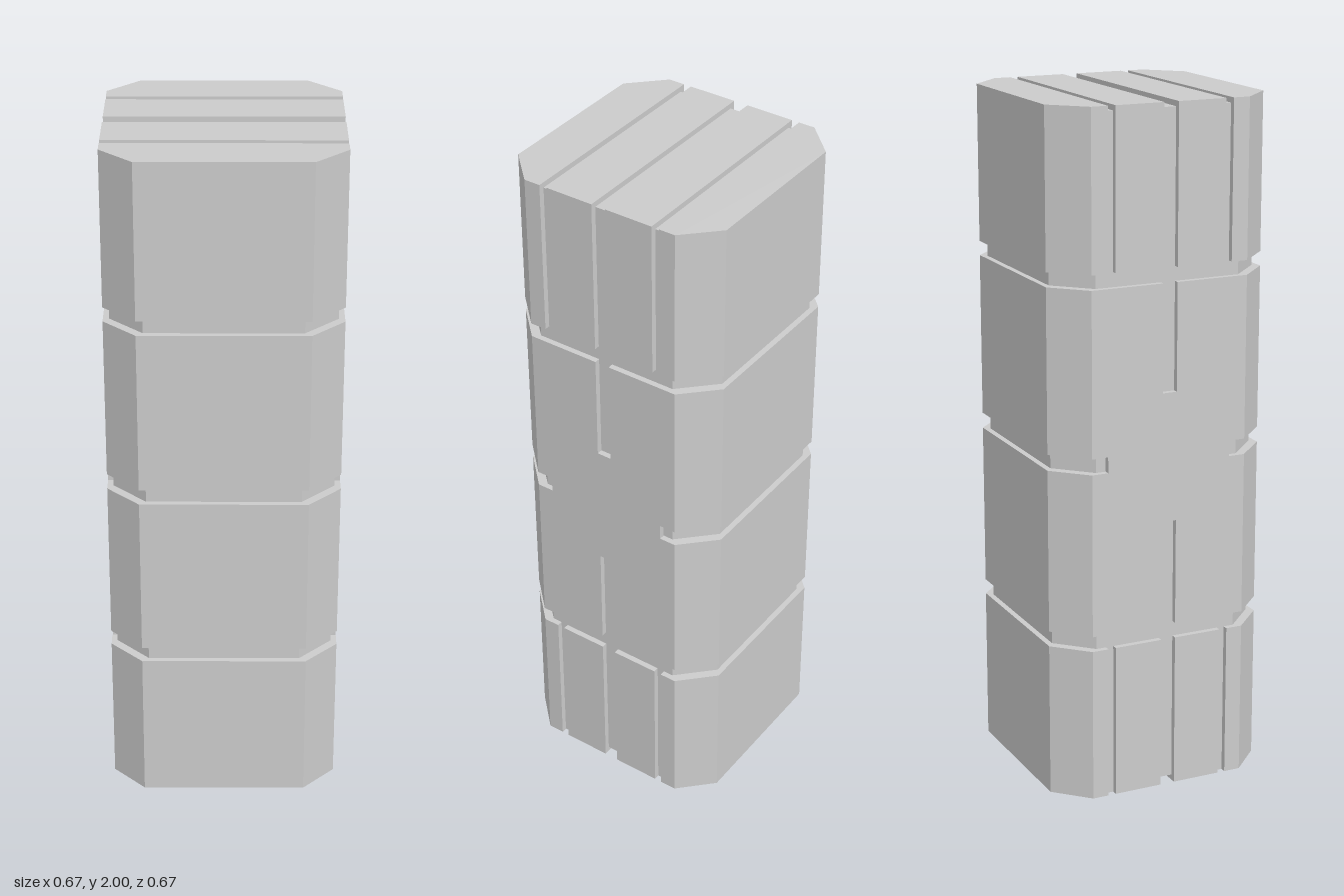
import * as THREE from 'three';

const R = 0.333, C = 0.239;      // half width, and where the corner chamfer starts
const RI = 0.316, CI = 0.22;     // the same at the bottom of the grooves
const MID = [-0.022, 0.022];     // centre groove, in z
const FRONT = [0.167, 0.19];     // outer grooves, in z
const BACK = [-0.19, -0.167];
const CAP = 0.016;               // depth of the grooves across the ends

const material = new THREE.MeshStandardMaterial({ color: 0xcccccc, flatShading: true });

// +x edge of a section with rising z, cut by grooves
const edge = (grooves) => grooves.flatMap(([a, b]) => [[R, a], [RI, a], [RI, b], [R, b]]);
const frontCorner = [[R, C], [C, R]];
const backCorner = [[C, -R], [R, -C]];
const grooved = (...grooves) => [...backCorner, ...edge(grooves), ...frontCorner];
const flipZ = (pts) => pts.map(([x, z]) => [x, -z]).reverse();

const ring = [[CI, -RI], [RI, -CI], [RI, CI], [CI, RI]];
const ringWithSides = [[CI, -RI], [RI, -CI], [RI, -0.19], [R, -0.19],
  [R, 0.19], [RI, 0.19], [RI, CI], [CI, RI]];

// Mirror the +x edge to -x and extrude the section upwards
function layer(group, name, pts, y0, y1) {
  const left = pts.map(([x, z]) => [-x, z]).reverse();
  const shape = new THREE.Shape([...pts, ...left].map(([x, z]) => new THREE.Vector2(x, -z)));
  const geometry = new THREE.ExtrudeGeometry(shape, { depth: y1 - y0, bevelEnabled: false });
  geometry.rotateX(-Math.PI / 2);
  const mesh = new THREE.Mesh(geometry, material);
  mesh.name = name;
  mesh.position.y = y0;
  group.add(mesh);
}

export function createModel() {
  const model = new THREE.Group();
  model.name = 'groovedBlock';

  // Bottom end, split by one groove
  const foot = [[R, MID[1]], ...edge([FRONT]), ...frontCorner];
  layer(model, 'bottomFrontPad', foot, 0, CAP);
  layer(model, 'bottomBackPad', flipZ(foot), 0, CAP);

  // Stacked body with ring grooves between the blocks
  const three = grooved(BACK, MID, FRONT);
  layer(model, 'lowestBlock', three, CAP, 0.455);
  layer(model, 'lowerRingGroove', ring, 0.455, 0.5);
  layer(model, 'lowerBlockSlotted', grooved(MID), 0.5, 0.812);
  layer(model, 'lowerBlockPlain', grooved(), 0.812, 0.98);
  layer(model, 'middleGroove', ringWithSides, 0.98, 1.026);
  layer(model, 'upperBlockPlain', grooved(), 1.026, 1.19);
  layer(model, 'upperBlockSlotted', grooved(MID), 1.19, 1.503);
  layer(model, 'upperRingGroove', ring, 1.503, 1.545);
  layer(model, 'highestBlock', three, 1.545, 2 - CAP);

  // Top end, split into four strips
  const outer = [[R, FRONT[1]], ...frontCorner];
  const inner = [[R, MID[1]], [R, FRONT[0]]];
  layer(model, 'topFrontStrip', outer, 2 - CAP, 2);
  layer(model, 'topBackStrip', flipZ(outer), 2 - CAP, 2);
  layer(model, 'topInnerFrontStrip', inner, 2 - CAP, 2);
  layer(model, 'topInnerBackStrip', flipZ(inner), 2 - CAP, 2);

  return model;
}
